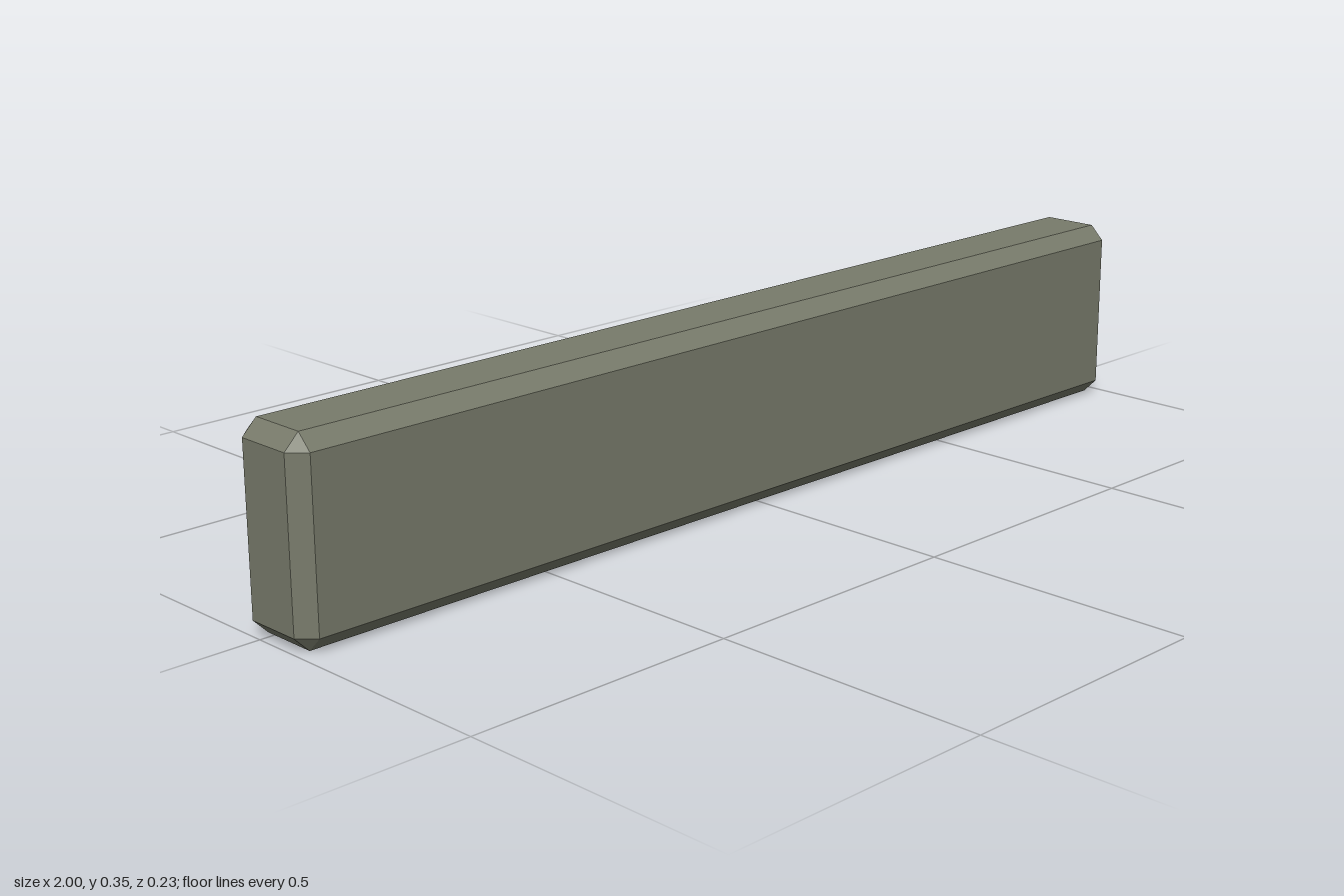
import * as THREE from 'three';
import { ConvexGeometry } from 'three/addons/geometries/ConvexGeometry.js';

// Box with every edge chamfered by c: each corner becomes a small triangle
function chamferedBox(width, height, depth, c) {
  const half = [width / 2, height / 2, depth / 2];
  const points = [];
  for (const sx of [-1, 1]) for (const sy of [-1, 1]) for (const sz of [-1, 1]) {
    for (let axis = 0; axis < 3; axis++) {
      const [x, y, z] = half.map((h, i) => (i === axis ? h : h - c));
      points.push(new THREE.Vector3(sx * x, sy * y, sz * z));
    }
  }
  return new ConvexGeometry(points);
}

export function createModel() {
  const group = new THREE.Group();
  group.name = 'chamferedBar';

  const olive = new THREE.MeshStandardMaterial({ color: 0x787b6b, flatShading: true });
  olive.name = 'olive grey';
  const sand = new THREE.MeshStandardMaterial({ color: 0xcfc6a4, flatShading: true });
  sand.name = 'sand';

  // Main bar
  const bar = new THREE.Mesh(chamferedBox(2, 0.347, 0.16, 0.027), olive);
  bar.name = 'bar';
  bar.position.set(0, 0.1735, 0.037);

  // Raised strip, slightly sunk into the back of the bar
  const strip = new THREE.Mesh(chamferedBox(1.81, 0.17, 0.08, 0.0155), sand);
  strip.name = 'backStrip';
  strip.position.set(0, 0.174, -0.0755);

  group.add(bar, strip);
  return group;
}
